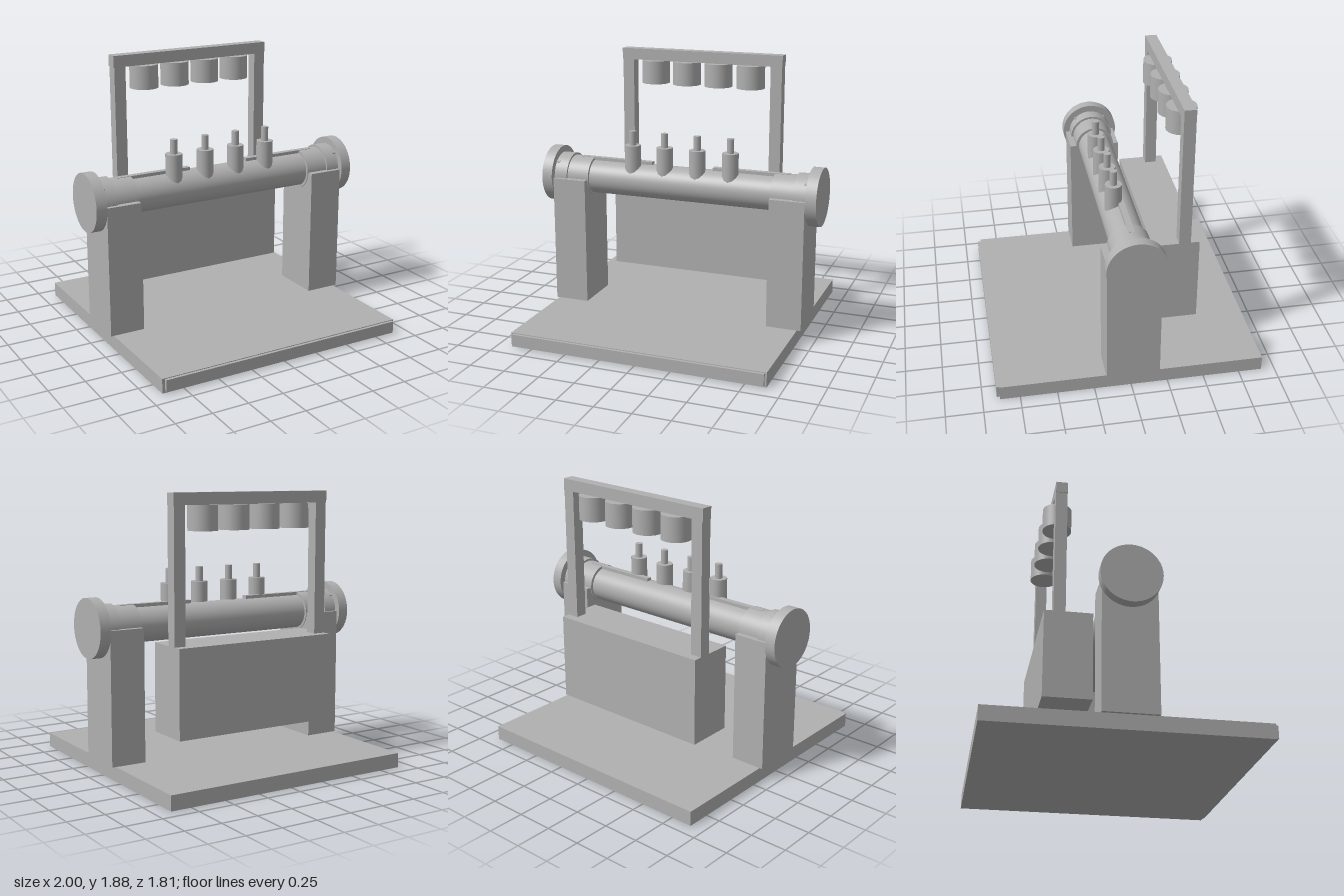
import * as THREE from 'three';

export function createModel() {
  const model = new THREE.Group();
  const grey = new THREE.MeshStandardMaterial({ color: 0xb0b0b0 });
  grey.name = 'plain grey';

  const add = (name, geometry, x, y, z) => {
    const mesh = new THREE.Mesh(geometry, grey);
    mesh.name = name;
    mesh.position.set(x, y, z);
    model.add(mesh);
    return mesh;
  };
  // Box given by its limits on each axis
  const box = (name, x0, x1, y0, y1, z0, z1) =>
    add(name, new THREE.BoxGeometry(x1 - x0, y1 - y0, z1 - z0),
      (x0 + x1) / 2, (y0 + y1) / 2, (z0 + z1) / 2);
  // Upright cylinder from y0 to y1
  const upright = (name, r, x, z, y0, y1, sides) =>
    add(name, new THREE.CylinderGeometry(r, r, y1 - y0, sides), x, (y0 + y1) / 2, z);
  // Cylinder lying along x, on the pipe's axis unless offset
  const axisY = 1, axisZ = -0.013;
  const lying = (name, r, x0, x1, dy = 0, dz = 0, sides = 64) => {
    const geometry = new THREE.CylinderGeometry(r, r, Math.abs(x1 - x0), sides);
    geometry.rotateZ(Math.PI / 2);
    return add(name, geometry, (x0 + x1) / 2, axisY + dy, axisZ + dz);
  };

  // Base slab and its front strip
  box('base', -0.9, 0.893, 0, 0.1, -0.91, 0.885);
  box('frontStrip', -0.88, 0.88, 0.012, 0.095, 0.885, 0.905);

  // Rear tank and the frame standing on it
  box('tank', -0.6, 0.597, 0.3, 0.9, -0.51, -0.19);
  box('frameTop', -0.605, 0.6, 1.8, 1.88, -0.45, -0.37);
  for (const [x0, x1] of [[-0.6, -0.517], [0.515, 0.597]])
    box('framePost', x0, x1, 0.9, 1.8, -0.45, -0.37);

  // Main pipe
  lying('pipe', 0.12, -0.95, 0.95);

  // Ends of the pipe, mirrored: support, collars, flange, pins and top key
  for (const s of [-1, 1]) {
    const span = (a, b) => [Math.min(s * a, s * b), Math.max(s * a, s * b)];
    box('support', ...span(0.675, 0.92), 0.1, 1, -0.19, 0.17);
    lying('innerCollar', 0.139, s * 0.67, s * 0.84);
    lying('outerCollar', 0.154, s * 0.83, s * 0.93);
    lying('flange', 0.2, s * 0.925, s);
    box('topKey', ...span(0.225, 0.77), 1.1, 1.14, -0.036, 0.005);
    for (const dy of [-0.107, 0.107])
      for (const dz of [-0.107, 0.107])
        lying('pin', 0.009, s * 0.9, s * 0.93, dy, dz, 12);
  }

  // Four valves on the pipe, with a cup hanging above each
  for (let i = 0; i < 4; i++) {
    const x = -0.36 + i * 0.24;
    upright('valveBody', 0.058, x, 0.03, 1.0, 1.26, 12);
    upright('valveStem', 0.025, x, 0.03, 1.26, 1.36, 12);
    upright('cup', 0.1, x, -0.41, 1.635, 1.8, 40);
  }
  return model;
}
